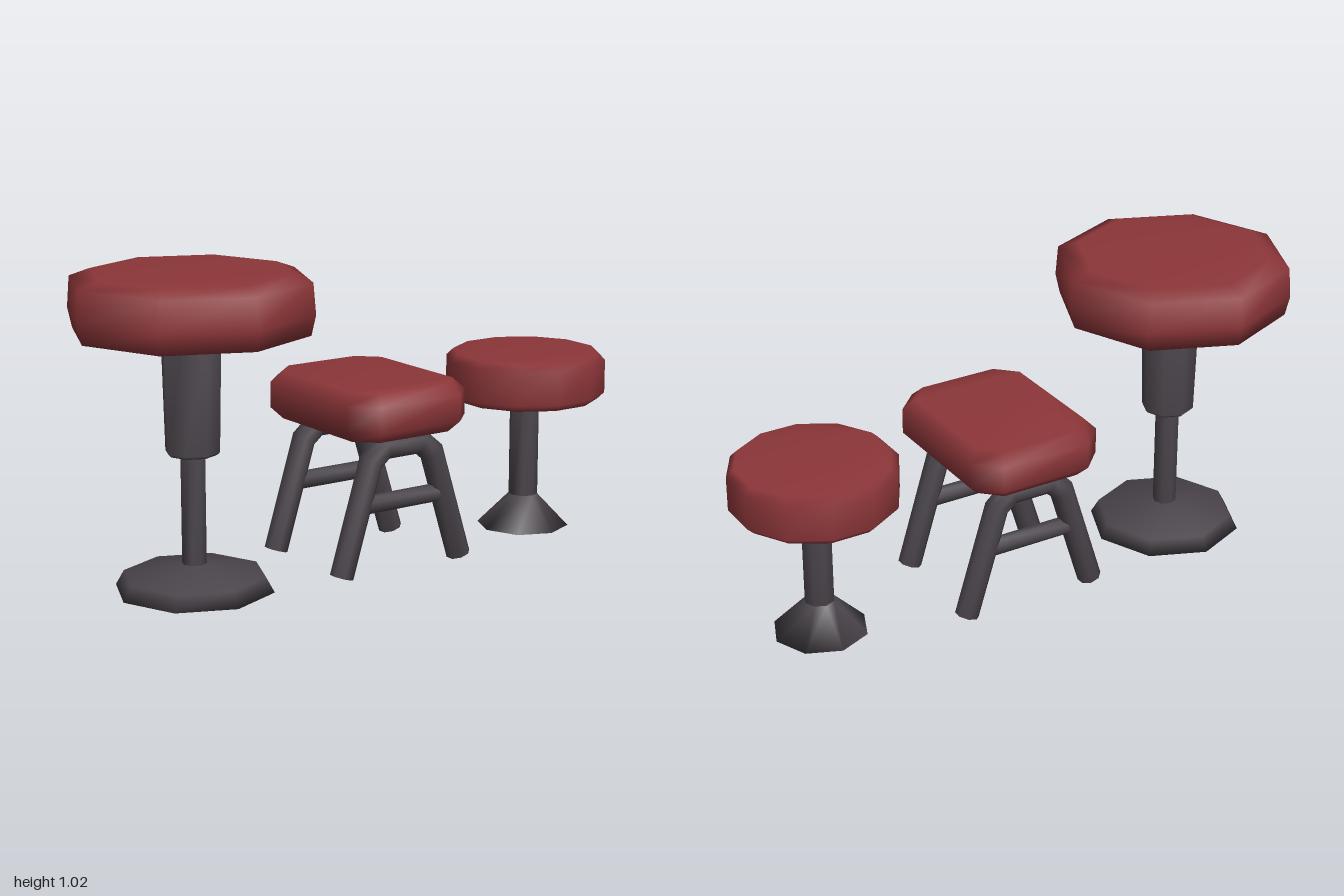
import * as THREE from 'three';

const red = new THREE.MeshStandardMaterial({ color: 0x8c3639 });
red.name = 'red upholstery';
const grey = new THREE.MeshStandardMaterial({ color: 0x4a444a });
grey.name = 'dark grey metal';

// Skin a stack of equal-sized rings, capped at both ends, with shared smooth normals
function loft(rings) {
  const n = rings[0].length, index = [];
  for (let i = 0; i < rings.length - 1; i++) {
    for (let j = 0; j < n; j++) {
      const k = (j + 1) % n;
      const a = i * n + j, b = i * n + k, c = a + n, d = b + n;
      index.push(a, b, d, a, d, c);
    }
  }
  const top = (rings.length - 1) * n;
  for (let j = 1; j < n - 1; j++) {
    index.push(0, j + 1, j);
    index.push(top, top + j, top + j + 1);
  }
  const geo = new THREE.BufferGeometry().setFromPoints(rings.flat());
  geo.setIndex(index);
  geo.computeVertexNormals();
  return geo;
}

// Faceted round part from a [radius, y] profile, bottom to top
function turned(profile, sides, turn = 0) {
  return loft(profile.map(([r, y]) => Array.from({ length: sides }, (_, j) => {
    const a = ((j + turn) / sides) * Math.PI * 2;
    return new THREE.Vector3(r * Math.sin(a), y, r * Math.cos(a));
  })));
}

// Octagonal bar along [z, y] points with mitred bends
function bar(path, radius) {
  const pts = path.map(([z, y]) => new THREE.Vector3(0, y, z));
  const u = new THREE.Vector3(1, 0, 0);
  return loft(pts.map((p, i) => {
    const before = p.clone().sub(pts[Math.max(i - 1, 0)]).normalize();
    const after = pts[Math.min(i + 1, pts.length - 1)].clone().sub(p).normalize();
    const t = before.clone().add(after).normalize();
    const miter = 1 / Math.max(t.dot(before), t.dot(after));
    const v = t.clone().cross(u).multiplyScalar(miter);
    return Array.from({ length: 8 }, (_, j) => {
      const a = ((j + 0.5) / 8) * Math.PI * 2;
      return p.clone()
        .addScaledVector(u, radius * Math.cos(a))
        .addScaledVector(v, radius * Math.sin(a));
    });
  }));
}

// Rectangle with cut corners at height y
function cutRect(a, d, c, y) {
  return [
    [a - c, d], [a, d - c], [a, c - d], [a - c, -d],
    [c - a, -d], [-a, c - d], [-a, d - c], [c - a, d],
  ].map(([x, z]) => new THREE.Vector3(x, y, z));
}

function add(parent, name, geo, material, x = 0) {
  const mesh = new THREE.Mesh(geo, material);
  mesh.name = name;
  mesh.position.x = x;
  parent.add(mesh);
}

function stool(root, name, z) {
  const g = new THREE.Group();
  g.name = name;
  g.position.z = z;
  root.add(g);
  return g;
}

export function createModel() {
  const root = new THREE.Group();
  root.name = 'stools';

  // Tall bar stool
  const tall = stool(root, 'tallStool', 0.605);
  add(tall, 'tallSeat', turned([[0.38, 0.835], [0.395, 0.9], [0.387, 1.0], [0.32, 1.025]], 8), red);
  add(tall, 'tallSleeve', turned([[0.078, 0.445], [0.088, 0.455], [0.097, 0.84]], 8), grey);
  add(tall, 'tallPole', turned([[0.04, 0.07], [0.04, 0.46]], 8), grey);
  add(tall, 'tallBase', turned([[0.259, 0.005], [0.232, 0.053], [0.04, 0.09]], 8), grey);

  // Low bench with two bent-tube leg frames
  const bench = stool(root, 'bench', -0.065);
  add(bench, 'benchSeat', loft([
    cutRect(0.262, 0.2, 0.065, 0.457),
    cutRect(0.3, 0.235, 0.08, 0.495),
    cutRect(0.3, 0.235, 0.08, 0.58),
    cutRect(0.262, 0.2, 0.065, 0.617),
  ]), red);
  const half = [[0.236, 0.012], [0.122, 0.378], [0.072, 0.42]];
  const frame = [...half, ...half.map(([z, y]) => [-z, y]).reverse()];
  for (const x of [-0.192, 0.192]) {
    add(bench, 'benchLegFrame', bar(frame, 0.04), grey, x);
    add(bench, 'benchCrossbar', bar([[0.165, 0.237], [-0.165, 0.237]], 0.03), grey, x);
  }

  // Low round stool
  const round = stool(root, 'roundStool', -0.735);
  add(round, 'roundSeat', turned([[0.25, 0.457], [0.274, 0.48], [0.274, 0.594], [0.25, 0.617]], 12, 0.5), red);
  add(round, 'roundPole', turned([[0.05, 0.09], [0.05, 0.46]], 8), grey);
  add(round, 'roundBase', turned([[0.158, 0], [0.05, 0.11]], 8), grey);

  return root;
}
